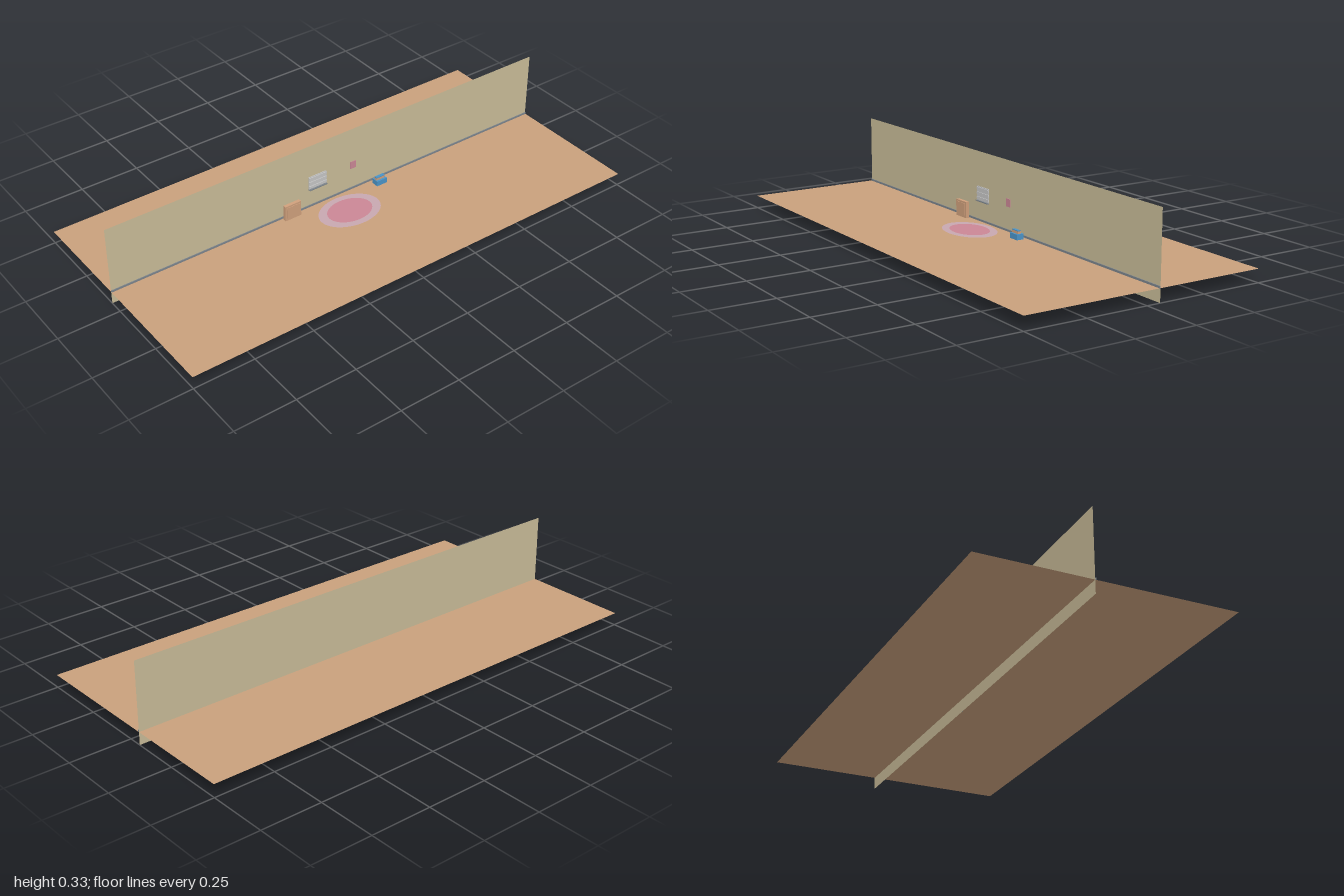
import * as THREE from 'three';

const mat = (name, color, side = THREE.FrontSide) => {
  const m = new THREE.MeshStandardMaterial({ color, side });
  m.name = name;
  return m;
};

export function createModel() {
  const room = new THREE.Group();
  room.name = 'room';
  const floorTan = mat('floor tan', 0xc9a07c, THREE.DoubleSide);
  const wallBeige = mat('wall beige', 0xc9bc98, THREE.DoubleSide);
  const slate = mat('slate grey', 0x7d858c);
  const wood = mat('cabinet wood', 0xd0a07c);
  const blue = mat('box blue', 0x4a94c8);
  const lightGrey = mat('shelf light grey', 0xc6c6c6);
  const pink = mat('rug pink', 0xcb8796);
  const palePink = mat('rug border', 0xc8a8b0);

  const add = (name, geometry, material, x, y, z, parent = room) => {
    const mesh = new THREE.Mesh(geometry, material);
    mesh.name = name;
    mesh.position.set(x, y, z);
    parent.add(mesh);
    return mesh;
  };
  // Box given by its minimum and maximum corners
  const box = (name, material, [x0, y0, z0], [x1, y1, z1], parent) =>
    add(name, new THREE.BoxGeometry(x1 - x0, y1 - y0, z1 - z0), material,
      (x0 + x1) / 2, (y0 + y1) / 2, (z0 + z1) / 2, parent);
  const group = (name) => {
    const g = new THREE.Group();
    g.name = name;
    room.add(g);
    return g;
  };

  // Floor and the wall that passes through it
  const floorY = 0.052;
  add('floor', new THREE.PlaneGeometry(2, 1).rotateX(-Math.PI / 2), floorTan, 0, floorY, 0);
  add('wall', new THREE.PlaneGeometry(2, 0.332), wallBeige, 0, 0.166, -0.056);
  box('baseboard', slate, [-1, floorY, -0.0555], [1, 0.06, -0.052], room);

  // Oval rug with a pale border
  const rug = group('rug');
  const oval = (name, material, rx, rz, y) =>
    add(name, new THREE.CircleGeometry(1, 48).scale(rx, rz, 1).rotateX(-Math.PI / 2),
      material, -0.013, y, 0.058, rug);
  oval('rugBorder', palePink, 0.133, 0.095, floorY + 0.001);
  oval('rugCentre', pink, 0.096, 0.07, floorY + 0.002);

  // Cabinet with a raised front panel
  const cabinet = group('cabinet');
  box('cabinetBody', wood, [-0.253, floorY, -0.045], [-0.18, 0.118, -0.031], cabinet);
  box('cabinetDoor', wood, [-0.246, 0.062, -0.031], [-0.187, 0.111, -0.029], cabinet);

  // Blue box carrying a small block with a blue lid
  const toyBox = group('toyBox');
  box('boxBody', blue, [0.17, floorY, -0.036], [0.218, 0.074, -0.006], toyBox);
  box('smallBlock', wood, [0.173, 0.074, -0.027], [0.213, 0.084, -0.014], toyBox);
  box('smallBlockLid', blue, [0.173, 0.084, -0.027], [0.213, 0.087, -0.014], toyBox);

  // Wall shelf with three slats and a bottom ledge
  const shelf = group('wallShelf');
  box('shelfPanel', lightGrey, [-0.128, 0.137, -0.0535], [-0.045, 0.193, -0.051], shelf);
  for (const y of [0.147, 0.166, 0.185])
    box('slat', lightGrey, [-0.128, y - 0.004, -0.051], [-0.045, y + 0.004, -0.048], shelf);
  box('ledge', slate, [-0.128, 0.133, -0.0535], [-0.045, 0.137, -0.044], shelf);

  // Small picture on the wall
  box('wallPicture', pink, [0.073, 0.149, -0.0555], [0.1, 0.181, -0.053], room);

  return room;
}
